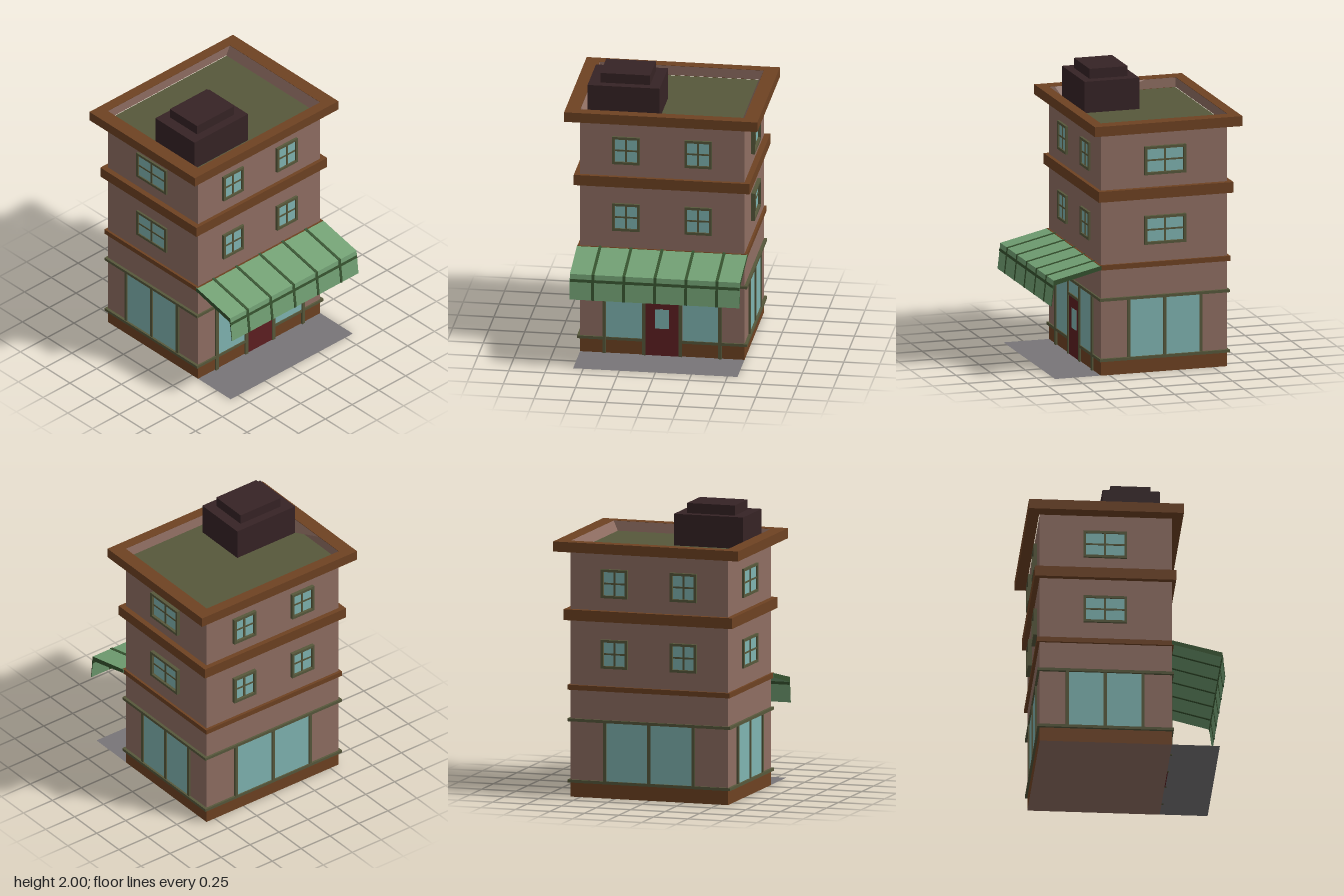
import * as THREE from 'three';

const mat = (name, color) => {
  const m = new THREE.MeshStandardMaterial({ color });
  m.name = name;
  return m;
};

export function createModel() {
  const brick = mat('brick', 0x8f6e62);
  const brown = mat('brownTrim', 0x6e4222);
  const olive = mat('olive', 0x57583b);
  const glass = mat('glass', 0x7fb4b1);
  const red = mat('doorRed', 0x5e1f21);
  const dark = mat('darkUnit', 0x362325);
  const green = mat('awningGreen', 0x72a174);
  const darkGreen = mat('awningStripe', 0x36532f);
  const grey = mat('pavement', 0x787578);

  const model = new THREE.Group();
  model.name = 'cornerShop';

  // Box from its lower and upper limits
  const box = (parent, name, m, x0, x1, y0, y1, z0, z1) => {
    const mesh = new THREE.Mesh(new THREE.BoxGeometry(x1 - x0, y1 - y0, z1 - z0), m);
    mesh.position.set((x0 + x1) / 2, (y0 + y1) / 2, (z0 + z1) / 2);
    mesh.name = name;
    parent.add(mesh);
    return mesh;
  };
  const X0 = -0.6, X1 = 0.31, Z = 0.57;

  // Walls and plinth; the roof deck is the top face of the walls
  box(model, 'plinth', [brown, brown, brown, brick, brown, brown], X0, X1, 0, 0.1, -Z, Z);
  box(model, 'walls', [brick, brick, olive, brick, brick, brick], X0, X1, 0.1, 1.71, -Z, Z);

  // Bands around the building
  box(model, 'upperBand', brown, -0.635, 0.337, 1.23, 1.305, -0.61, 0.61);
  box(model, 'lowerBand', brown, -0.62, 0.322, 0.745, 0.78, -0.587, 0.587);
  box(model, 'shopLintel', olive, -0.615, 0.322, 0.525, 0.545, -0.59, 0.59);
  box(model, 'shopSill', olive, -0.615, 0.309, 0.1, 0.12, -0.59, 0.59);
  for (const s of [-1, 1]) {
    box(model, 'shopSillRight', olive, 0.309, 0.322, 0.1, 0.12,
      Math.min(s * 0.115, s * 0.59), Math.max(s * 0.115, s * 0.59));
  }

  // Cornice ring
  const ring = new THREE.Shape();
  ring.moveTo(-0.68, -0.67).lineTo(0.385, -0.67).lineTo(0.385, 0.67).lineTo(-0.68, 0.67);
  const hole = new THREE.Path();
  hole.moveTo(-0.604, -Z).lineTo(-0.604, Z).lineTo(0.31, Z).lineTo(0.31, -Z);
  ring.holes.push(hole);
  const cornice = new THREE.Mesh(
    new THREE.ExtrudeGeometry(ring, { depth: 0.07, bevelEnabled: false }), brown);
  cornice.rotation.x = -Math.PI / 2;
  cornice.position.y = 1.71;
  cornice.name = 'cornice';
  model.add(cornice);

  // Leaning brick lining inside the cornice
  const lining = (a, b, c, d) => {
    const g = new THREE.BufferGeometry().setFromPoints(
      [a, b, c, a, c, d].map((p) => new THREE.Vector3(...p)));
    g.computeVertexNormals();
    const mesh = new THREE.Mesh(g, brick);
    mesh.name = 'parapetLining';
    model.add(mesh);
  };
  const T = 1.779, B = 1.712;
  lining([-0.602, B, -0.535], [0.298, B, -0.535], [0.309, T, -0.569], [-0.602, T, -0.569]);
  lining([0.298, B, 0.568], [0.309, T, 0.568], [0.309, T, -0.569], [0.298, B, -0.535]);
  lining([-0.602, B, -0.535], [-0.602, T, -0.569], [-0.602, T, 0.568], [-0.602, B, 0.568]);
  lining([-0.602, B, 0.567], [-0.602, T, 0.568], [0.309, T, 0.568], [0.298, B, 0.567]);
  lining([0.23, B, 0.53], [-0.165, B, 0.53], [-0.38, T, 0.567], [0.27, T, 0.567]);

  // Rooftop unit
  box(model, 'roofUnit', dark, -0.165, 0.23, 1.71, 1.93, 0.03, 0.53);
  box(model, 'roofUnitCap', dark, -0.105, 0.17, 1.93, 2, 0.105, 0.45);

  // Facade groups: local x runs along the wall, local z points outward
  const facade = (name, x, z, turn) => {
    const g = new THREE.Group();
    g.name = name;
    g.position.set(x, 0, z);
    g.rotation.y = turn;
    model.add(g);
    return g;
  };
  const front = facade('frontFacade', 0, Z, 0);
  const back = facade('backFacade', 0, -Z, Math.PI);
  const right = facade('awningFacade', X1, 0, Math.PI / 2);
  const left = facade('plainFacade', X0, 0, -Math.PI / 2);

  // Framed four-pane window
  const addWindow = (f, u, y, w, depth) => {
    const g = new THREE.Group();
    g.name = 'window';
    g.position.set(u, y, 0);
    f.add(g);
    const h = 0.1, t = 0.018, a = w / 2;
    box(g, 'windowGlass', glass, -a + t, a - t, -h + t, h - t, 0, 0.006);
    for (const s of [-1, 1]) {
      const fx = s * (a - t / 2), fy = s * (h - t / 2);
      box(g, 'frameSide', olive, fx - t / 2, fx + t / 2, -h, h, 0, depth);
      box(g, 'frameRail', olive, -a + t, a - t, fy - t / 2, fy + t / 2, 0, depth);
    }
    box(g, 'mullion', olive, -0.007, 0.007, -h + t, h - t, 0, 0.011);
    box(g, 'glazingBar', olive, -a + t, a - t, -0.006, 0.006, 0, 0.01);
  };
  for (const y of [1.005, 1.495]) {
    addWindow(front, -0.15, y, 0.3, 0.015);
    addWindow(back, 0.15, y, 0.3, 0.026);
    for (const u of [-0.25, 0.25]) {
      addWindow(right, u, y, 0.19, 0.017);
      addWindow(left, u, y, 0.19, 0.025);
    }
  }

  // Shop windows: two panes between three posts
  const addShopfront = (f, u, half) => {
    box(f, 'shopGlass', glass, u - half, u + half, 0.12, 0.525, 0, 0.005);
    for (const p of [-half, 0, half]) {
      box(f, 'shopPost', olive, u + p - 0.011, u + p + 0.011, 0.12, 0.525, 0, 0.014);
    }
  };
  addShopfront(front, -0.15, 0.26);
  addShopfront(back, 0.15, 0.26);
  addShopfront(left, 0, 0.32);

  // Entrance side
  for (const s of [-1, 1]) {
    box(right, 'shopGlass', glass, s * 0.265 - 0.125, s * 0.265 + 0.125, 0.12, 0.525, 0, 0.005);
    for (const p of [0.126, 0.402]) {
      box(right, 'entrancePost', olive, s * p - 0.012, s * p + 0.012, 0, 0.525, 0, 0.014);
    }
  }
  box(right, 'door', red, -0.115, 0.115, 0, 0.42, 0, 0.006);
  box(right, 'doorGlass', glass, -0.048, 0.048, 0.2, 0.34, 0.006, 0.009);
  box(right, 'doorLintel', olive, -0.115, 0.115, 0.42, 0.438, 0, 0.014);
  box(right, 'transomGlass', glass, -0.115, 0.115, 0.438, 0.525, 0, 0.005);

  // Awning: sloping roof and hanging valance in one profile
  const extrudeZ = (name, points, z0, z1, m) => {
    const shape = new THREE.Shape(points.map((p) => new THREE.Vector2(...p)));
    const mesh = new THREE.Mesh(
      new THREE.ExtrudeGeometry(shape, { depth: z1 - z0, bevelEnabled: false }), m);
    mesh.position.z = z0;
    mesh.name = name;
    model.add(mesh);
  };
  extrudeZ('awning', [[0.31, 0.75], [0.652, 0.665], [0.671, 0.52], [0.676, 0.52],
    [0.66, 0.665], [0.656, 0.7], [0.31, 0.78]], -0.59, 0.59, [darkGreen, green]);
  for (const z of [-0.43, -0.215, 0, 0.215, 0.43]) {
    extrudeZ('awningStripe', [[0.31, 0.747], [0.649, 0.662], [0.668, 0.52], [0.679, 0.52],
      [0.663, 0.665], [0.659, 0.703], [0.31, 0.784]], z - 0.01, z + 0.01, darkGreen);
  }
  extrudeZ('valanceStripe', [[0.649, 0.665], [0.652, 0.645], [0.665, 0.645], [0.6625, 0.665]],
    -0.589, 0.589, darkGreen);

  // Pavement in front of the entrance
  const pavement = new THREE.Mesh(new THREE.PlaneGeometry(0.33, 2 * Z), grey);
  grey.side = THREE.DoubleSide;
  pavement.rotation.x = -Math.PI / 2;
  pavement.position.set(X1 + 0.165, 0.001, 0);
  pavement.name = 'pavement';
  model.add(pavement);

  return model;
}
